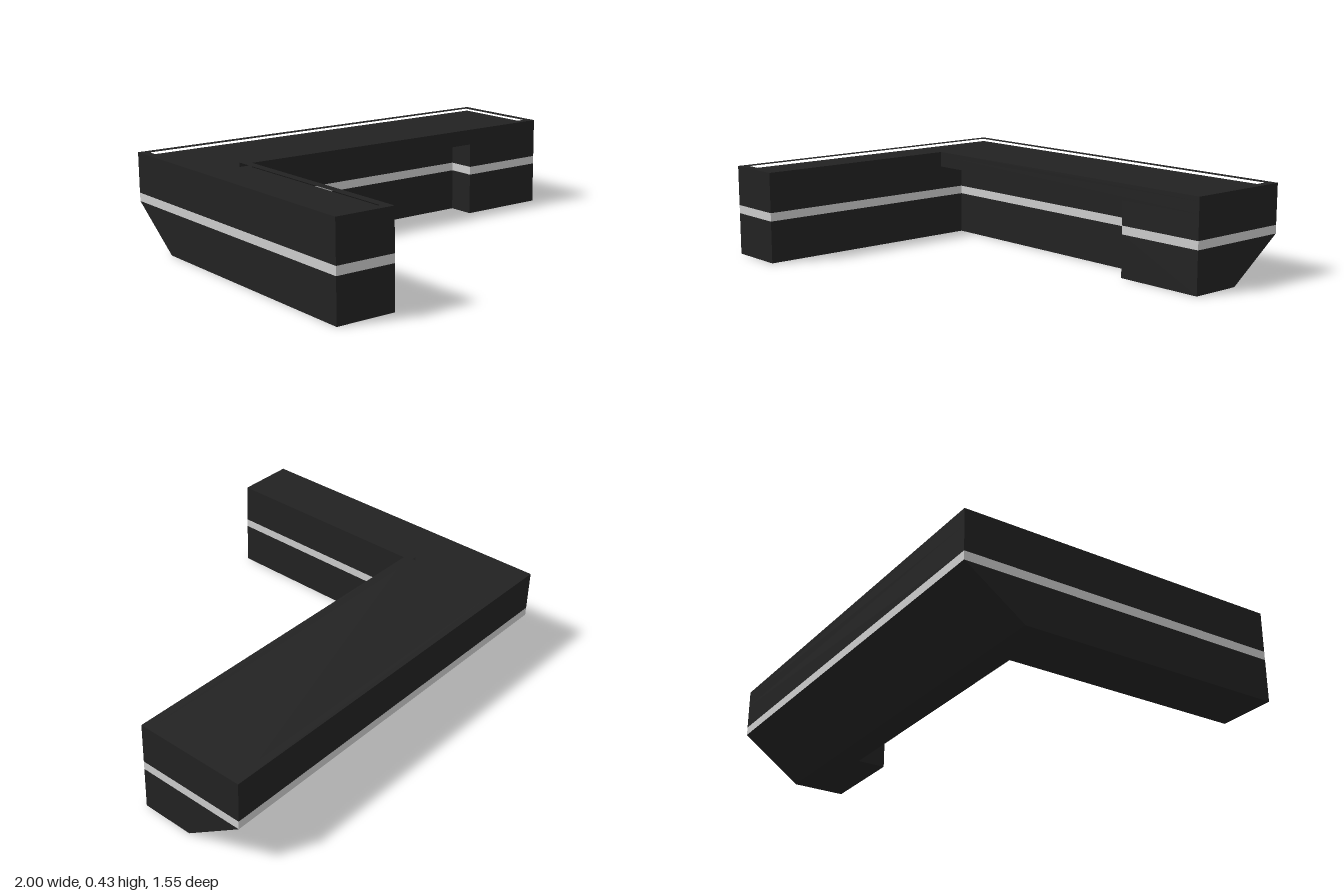
import * as THREE from 'three';

const BACK = -0.775, FRONT = 0.775, INNER = -0.245, WING = -0.72;

// L-shaped plan as [x, z] points; inset shrinks it, recess cuts the courtyard face
function plan({ back = BACK, inset: i = 0, recess = false } = {}) {
  const notch = recess ? [[0.56, INNER], [0.56, -0.38], [WING, -0.38]] : [[WING - i, INNER - i]];
  return [
    [-1 + i, back + i], [1 - i, back + i], [1 - i, INNER - i],
    ...notch,
    [WING - i, FRONT - i], [-1 + i, FRONT - i],
  ].map(([x, z]) => new THREE.Vector2(x, -z));
}

// Upright slab of a plan between two heights
function slab(points, y0, y1, hole) {
  const shape = new THREE.Shape(points);
  if (hole) shape.holes.push(new THREE.Path(hole));
  const g = new THREE.ExtrudeGeometry(shape, { depth: y1 - y0, bevelEnabled: false });
  return g.rotateX(-Math.PI / 2).translate(0, y0, 0);
}

export function createModel() {
  const dark = new THREE.MeshStandardMaterial({ color: 0x222222 });
  dark.name = 'charcoal cladding';
  const light = new THREE.MeshStandardMaterial({ color: 0xcccccc });
  light.name = 'pale band';

  const group = new THREE.Group();
  group.name = 'lShapedBuilding';
  const add = (name, geometry, material) => {
    const mesh = new THREE.Mesh(geometry, material);
    mesh.name = name;
    group.add(mesh);
  };

  // Lower storey: its back wall leans outward up to the band
  const lower = slab(plan({ back: -0.495, recess: true }), 0, 0.2);
  const p = lower.attributes.position;
  for (let i = 0; i < p.count; i++) {
    if (p.getY(i) > 0.1 && p.getZ(i) < -0.45) p.setZ(i, BACK);
  }
  lower.computeVertexNormals();
  add('lowerStorey', lower, dark);

  // Band running around all walls, including the recess
  add('windowBand', slab(plan({ recess: true }), 0.2, 0.24), light);

  // Upper storey, with the recess ending under an overhang
  add('upperStorey', slab(plan({ recess: true }), 0.24, 0.355), dark);
  add('roofSlab', slab(plan(), 0.355, 0.41), dark);

  // Low rim around the roof
  add('parapet', slab(plan(), 0.41, 0.43, plan({ inset: 0.04 })), dark);

  return group;
}
